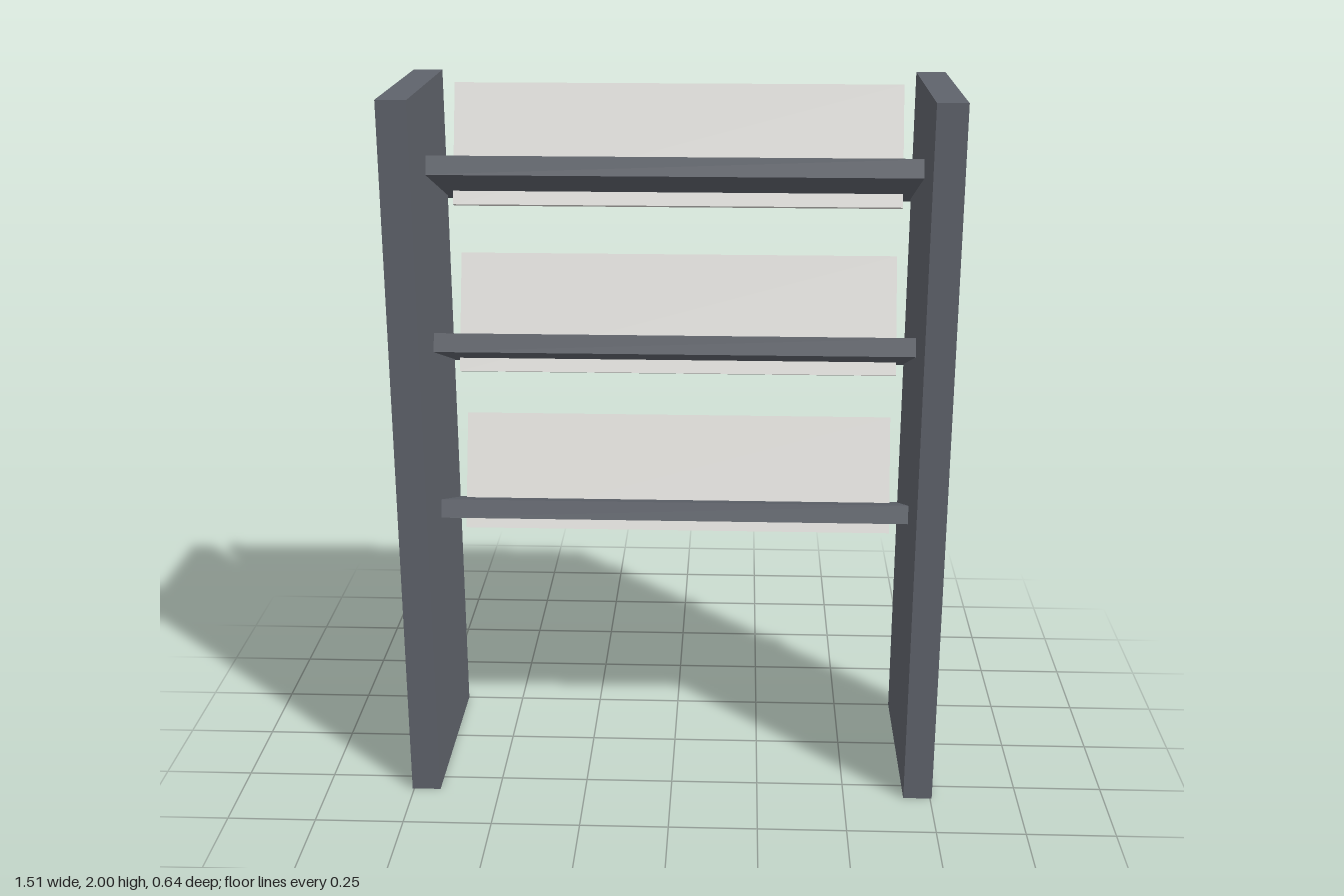
import * as THREE from 'three';

const TILT = -THREE.MathUtils.degToRad(20);

export function createModel() {
  const model = new THREE.Group();
  model.name = 'tiltedShelfRack';

  const frameMaterial = new THREE.MeshStandardMaterial({ color: 0x5f636b });
  const panelMaterial = new THREE.MeshStandardMaterial({ color: 0xe0dfdb });

  function addBox(parent, name, material, size, position, tilt = 0) {
    const mesh = new THREE.Mesh(new THREE.BoxGeometry(...size), material);
    mesh.name = name;
    mesh.position.set(...position);
    mesh.rotation.x = tilt;
    parent.add(mesh);
  }

  // Upright side panels
  for (const [name, side] of [['leftSide', 1], ['rightSide', -1]]) {
    addBox(model, name, frameMaterial, [0.082, 2, 0.57], [side * 0.714, 1, 0.034]);
  }

  // Three tiers: a shelf sloping down to the back, crossed by an upright back board
  for (let i = 0; i < 3; i++) {
    const tier = new THREE.Group();
    tier.name = `tier${i + 1}`;
    tier.position.y = 0.717 + i * 0.5;
    addBox(tier, 'shelf', frameMaterial, [1.428, 0.053, 0.426], [0, 0, -0.11], TILT);
    addBox(tier, 'backBoard', panelMaterial, [1.286, 0.351, 0.027], [0, 0.075, -0.226], TILT);
    model.add(tier);
  }

  return model;
}
